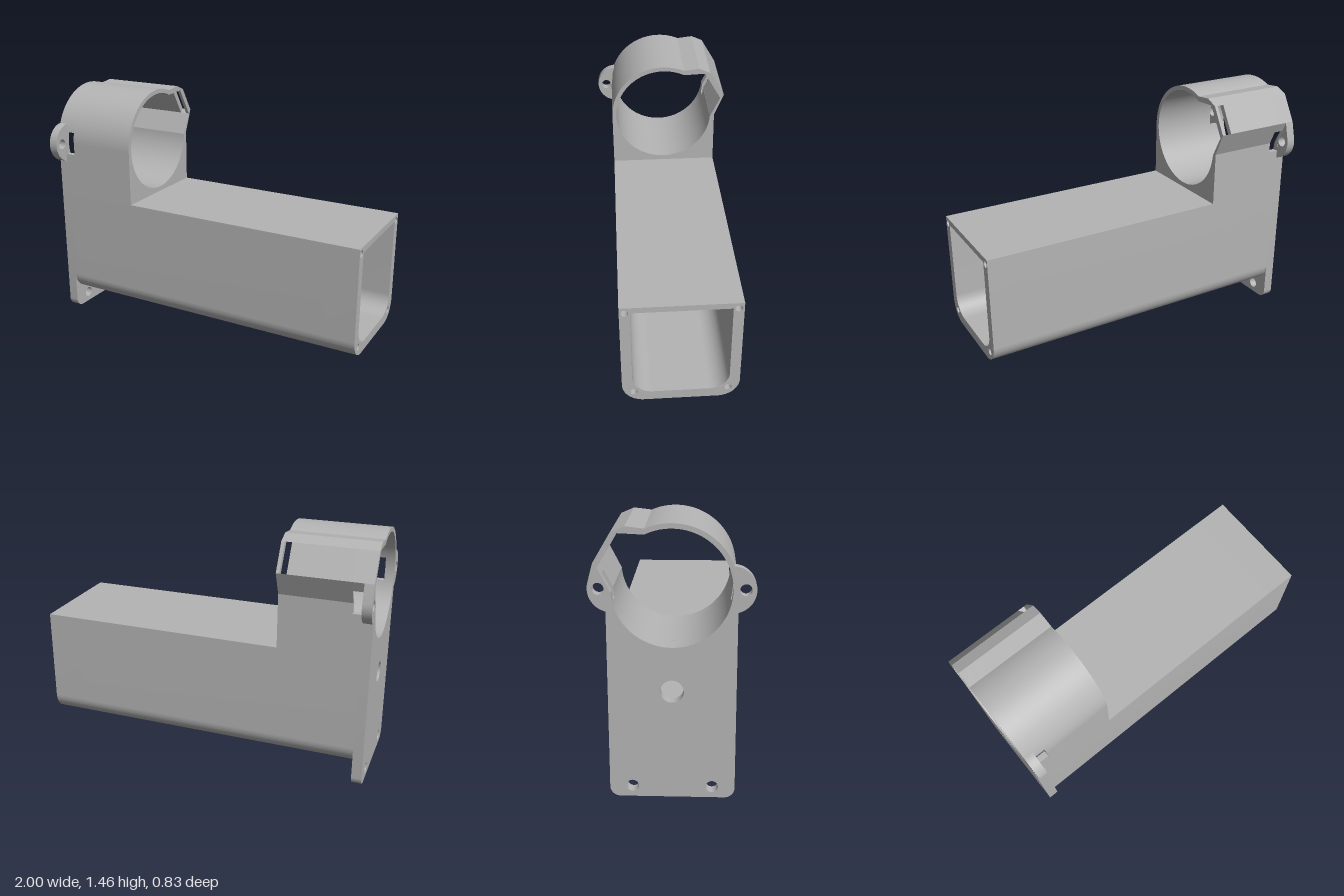
import * as THREE from 'three';
import { toCreasedNormals } from 'three/addons/utils/BufferGeometryUtils.js';

const W = 0.326;            // half width of the body
const CY = 1.13;            // height of the ring centre
const RI = 0.3, RO = 0.326; // ring radii

export function createModel() {
  const group = new THREE.Group();
  const grey = new THREE.MeshStandardMaterial({ color: 0xb4b4b4 });
  grey.name = 'grey';

  // Extrude a cross-section (horizontal = -z, vertical = y) along x
  function extrude(name, shape, x0, x1) {
    const geo = new THREE.ExtrudeGeometry(shape, { depth: x1 - x0, bevelEnabled: false, curveSegments: 48 });
    geo.rotateY(Math.PI / 2);
    geo.translate(x0, 0, 0);
    const mesh = new THREE.Mesh(toCreasedNormals(geo, 0.3), grey);
    mesh.name = name;
    group.add(mesh);
  }

  const lines = (path, pts) => pts.forEach(([u, y]) => path.lineTo(u, y));

  // Rectangle with rounded bottom corners
  function roundBottom(path, w, y0, y1, r) {
    path.moveTo(-w, y1);
    path.lineTo(-w, y0 + r);
    path.absarc(-w + r, y0 + r, r, Math.PI, Math.PI * 1.5, false);
    path.absarc(w - r, y0 + r, r, Math.PI * 1.5, Math.PI * 2, false);
    path.lineTo(w, y1);
    path.closePath();
    return path;
  }

  function hole(shape, u, y, r) {
    shape.holes.push(new THREE.Path().absarc(u, y, r, 0, Math.PI * 2, true));
  }

  // Mounting plate
  const plate = roundBottom(new THREE.Shape(), W, 0, 0.8, 0.055);
  for (const s of [-1, 1]) hole(plate, s * 0.207, 0.062, 0.032);
  hole(plate, 0, 0.595, 0.06);
  extrude('mountingPlate', plate, -1, -0.94);

  // Hollow box, with blind screw holes at its open end
  function boxSection(screws) {
    const s = roundBottom(new THREE.Shape(), W, 0.125, 0.8, 0.12);
    s.holes.push(roundBottom(new THREE.Path(), 0.268, 0.185, 0.765, 0.11));
    if (screws) for (const k of [-1, 1]) {
      hole(s, k * 0.297, 0.765, 0.02);
      hole(s, k * 0.262, 0.19, 0.02);
    }
    return s;
  }
  extrude('boxBody', boxSection(false), -0.94, 0.8);
  extrude('boxEnd', boxSection(true), 0.8, 1);

  // Ring housing with a bulge on one side
  const bulgeOuter = [[W, 1.12], [0.385, 1.257], [0.295, 1.41], [0.225, 1.44], [0.13, 1.429]];
  const bulgeInner = [[0.3, 1.11], [0.363, 1.235], [0.262, 1.406], [0.13, 1.4]];
  const outTop = Math.acos(0.13 / RO), inTop = Math.acos(0.13 / RI);
  const inLow = Math.asin(-0.02 / RI);

  function housingFull() {
    const s = new THREE.Shape().moveTo(-W, 0.8);
    s.lineTo(W, 0.8);
    lines(s, bulgeOuter);
    s.absarc(0, CY, RO, outTop, Math.PI, false);
    s.closePath();
    const h = new THREE.Path().moveTo(...bulgeInner[0]);
    lines(h, bulgeInner.slice(1));
    h.absarc(0, CY, RI, inTop, Math.PI * 2 + inLow, false);
    s.holes.push(h);
    return s;
  }

  // Section with the sloping bulge wall cut away
  function housingSlot() {
    const s = new THREE.Shape().moveTo(-W, 0.8);
    lines(s, [[W, 0.8], bulgeOuter[0], bulgeOuter[1], bulgeInner[1], bulgeInner[0]]);
    s.absarc(0, CY, RI, inLow, inTop - Math.PI * 2, true);
    lines(s, [bulgeInner[2], bulgeOuter[2], bulgeOuter[3], bulgeOuter[4]]);
    s.absarc(0, CY, RO, outTop, Math.PI, false);
    s.closePath();
    return s;
  }

  // Sections below and above the two side windows
  function windowLower() {
    const a = Math.asin(0.07 / RI);
    const s = new THREE.Shape().moveTo(-W, 0.8);
    lines(s, [[W, 0.8], [W, 1.06]]);
    s.absarc(0, CY, RI, -a, -Math.PI + a, true);
    s.lineTo(-W, 1.06);
    s.closePath();
    return s;
  }
  function windowUpper() {
    const s = new THREE.Shape().moveTo(0.361, 1.2);
    lines(s, bulgeOuter.slice(1));
    s.absarc(0, CY, RO, outTop, Math.PI - Math.asin(0.07 / RO), false);
    s.absarc(0, CY, RI, Math.PI - Math.asin(0.07 / RI), inTop, true);
    lines(s, [bulgeInner[2], bulgeInner[1], [0.345, 1.2]]);
    s.closePath();
    return s;
  }

  extrude('housingBack', housingFull(), -1, -0.945);
  extrude('windowSill', windowLower(), -0.945, -0.885);
  extrude('windowTop', windowUpper(), -0.945, -0.885);
  extrude('housingMiddle', housingFull(), -0.885, -0.53);
  extrude('housingSlot', housingSlot(), -0.53, -0.49);
  extrude('housingRim', housingFull(), -0.49, -0.47);

  // Screw ears on both sides of the ring
  const earL = new THREE.Shape().moveTo(-0.305, 1.015);
  lines(earL, [[-0.322, 1.13], [-0.308, 1.2], [-0.288, 1.249]]);
  earL.absarc(-0.296, CY, 0.119, Math.PI * 0.5, Math.PI * 1.42, false);
  earL.closePath();
  hole(earL, -0.362, CY, 0.03);
  extrude('leftEar', earL, -1, -0.947);

  const earR = new THREE.Shape().moveTo(0.315, 1.013);
  earR.absarc(0.296, CY, 0.119, -Math.PI * 0.42, 0.2, false);
  lines(earR, [[0.385, 1.257], [0.326, 1.122], [0.31, 1.1]]);
  earR.closePath();
  hole(earR, 0.362, CY, 0.03);
  extrude('rightEar', earR, -1, -0.947);

  return group;
}
